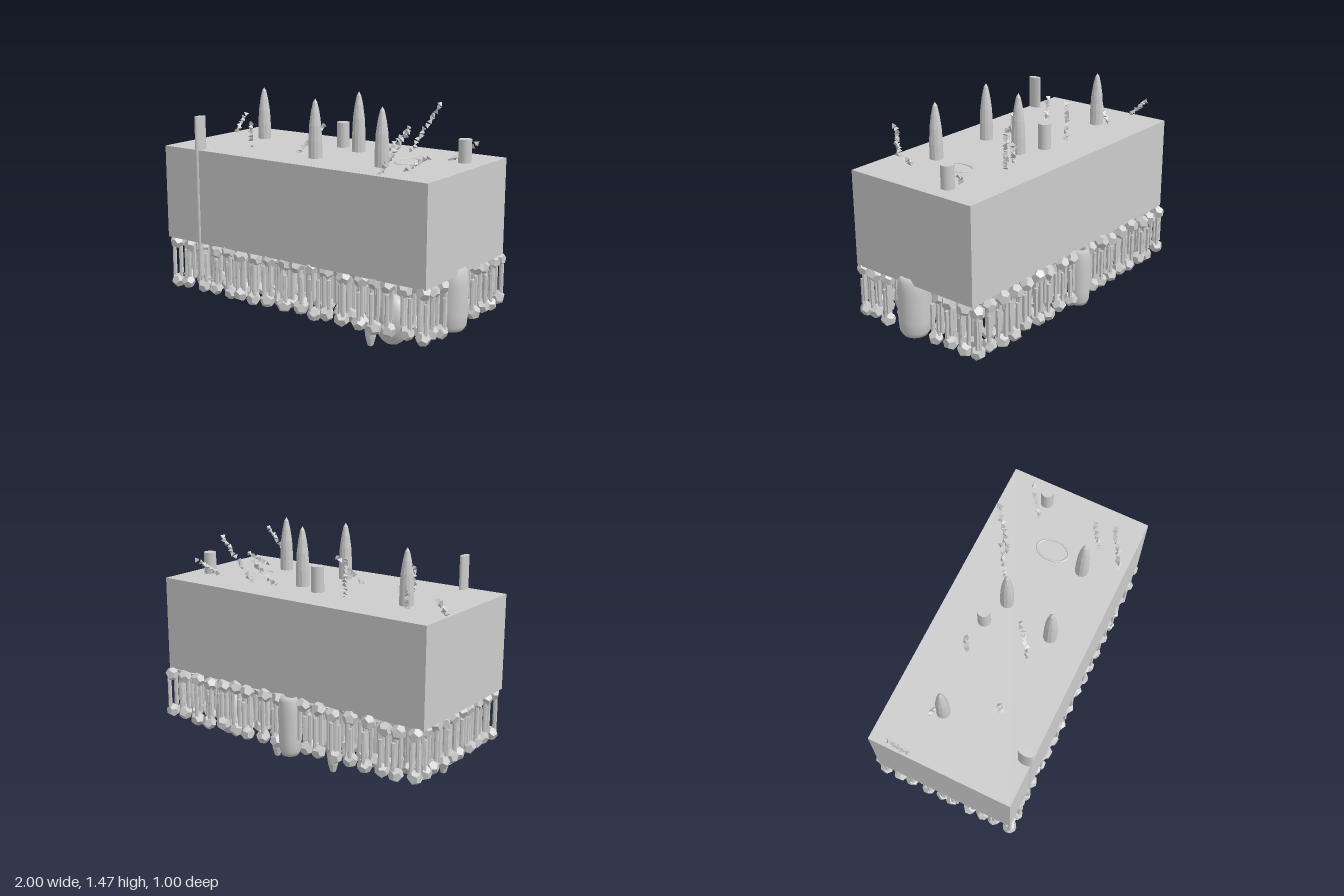
import * as THREE from 'three';
import { mergeGeometries } from 'three/addons/utils/BufferGeometryUtils.js';

const grey = new THREE.MeshStandardMaterial({ color: 0xcccccc, flatShading: true });
const smooth = new THREE.MeshStandardMaterial({ color: 0xcccccc, side: THREE.DoubleSide });

// Small seeded generator returning -1..1
let seed = 11;
function jitter() {
  seed = (seed * 16807) % 2147483647;
  return (seed / 2147483647) * 2 - 1;
}

export function createModel() {
  const model = new THREE.Group();
  const add = (name, geo, x, y, z, mat = grey) => {
    const mesh = new THREE.Mesh(geo, mat);
    mesh.name = name;
    mesh.position.set(x, y, z);
    model.add(mesh);
    return mesh;
  };

  // Solid slab
  add('slab', new THREE.BoxGeometry(1.965, 0.605, 0.915), -0.0175, 0.7875, 0.0275);

  // Barrel with rounded rims, optionally with an open pore
  const barrel = (name, x, z, r, y0, y1, pore) => {
    const p = [[pore, y0 + 0.02], [r * 0.75, y0], [r * 0.93, y0 + 0.03], [r, y0 + 0.1],
      [r, y1 - 0.1], [r * 0.93, y1 - 0.03], [r * 0.75, y1], [pore, y1 - 0.02]];
    if (pore > 0) p.push(p[0]);
    add(name, new THREE.LatheGeometry(p.map(q => new THREE.Vector2(...q)), 20), x, 0, z, smooth);
  };
  barrel('sideProtein', 0.9, 0.08, 0.1, 0.135, 0.52, 0);
  barrel('channelProtein', -0.05, -0.43, 0.07, 0.12, 0.5, 0.03);

  // Egg-shaped proteins: x, y, z, then half sizes
  const eggs = [[-0.6, 0.225, 0.03, 0.11, 0.155, 0.1], [0.66, 0.22, 0.35, 0.12, 0.155, 0.08],
    [0.56, 0.225, -0.295, 0.09, 0.15, 0.1]];
  for (const [x, y, z, rx, ry, rz] of eggs)
    add('roundProtein', new THREE.SphereGeometry(1, 14, 10).scale(rx, ry, rz), x, y, z, smooth);

  // Flat-ended oval protein
  add('ovalProtein', new THREE.CylinderGeometry(1, 1, 0.3, 16).scale(0.075, 1, 0.19), -0.83, 0.25, 0.11);

  // Lipid double layer: a head with two tails, mirrored below
  const blocked = [[0.9, 0.08, 0.13, 0.13], [-0.05, -0.43, 0.08, 0.08],
    [-0.83, 0.11, 0.09, 0.2], ...eggs.map(e => [e[0], e[2], e[3] * 0.8, e[5] * 0.8])];
  const heads = [], tails = [];
  const lipid = (x, y, z, dir) => {
    const turn = jitter() * Math.PI;
    heads.push(new THREE.DodecahedronGeometry(0.047).rotateX(jitter() * 3).rotateY(turn).translate(x, y, z));
    for (const s of [-1, 1]) {
      const len = 0.19 + jitter() * 0.015;
      tails.push(new THREE.CylinderGeometry(0.013, 0.013, len, 6).toNonIndexed()
        .translate(x + s * 0.022 * Math.cos(turn), y - dir * (0.02 + len / 2), z + s * 0.022 * Math.sin(turn)));
    }
  };
  const cols = 18, rows = 10;
  for (const [level, dir] of [[0.455, 1], [0.19, -1]])
    for (let i = 0; i < cols; i++)
      for (let j = 0; j < rows; j++) {
        const edgeX = i === 0 || i === cols - 1, edgeZ = j === 0 || j === rows - 1;
        const x = -0.95 + (i * 1.885) / (cols - 1) + jitter() * (edgeX ? 0.003 : 0.022);
        const z = -0.437 + (j * 0.89) / (rows - 1) + jitter() * (edgeZ ? 0.005 : 0.02);
        if (blocked.some(([bx, bz, rx, rz]) => ((x - bx) / rx) ** 2 + ((z - bz) / rz) ** 2 < 1)) continue;
        lipid(x, level + jitter() * 0.012, z, dir);
      }
  add('lipidHeads', mergeGeometries(heads), 0, 0, 0);
  add('lipidTails', mergeGeometries(tails), 0, 0, 0);

  // Pointed spindles hanging below the layer
  const hanging = [[0, 0], [0.018, 0.01], [0.032, 0.06], [0.042, 0.13], [0.03, 0.2], [0, 0.26]]
    .map(q => new THREE.Vector2(...q));
  for (const [x, z] of [[-0.82, 0.11], [-0.28, -0.3], [0.02, 0.11], [0.16, -0.3], [0.5, 0.335]])
    add('hangingSpindle', new THREE.LatheGeometry(hanging, 10), x, 0.01 - (x < -0.8 ? 0.01 : 0), z);

  // Bullet-shaped spikes on the slab
  for (const [x, z, top] of [[-0.665, -0.11, 1.43], [0.03, 0.25, 1.45], [0.12, -0.08, 1.465], [0.505, 0.24, 1.44]]) {
    const h = top - 1.05;
    const p = [[0.043, 0], [0.042, 0.35], [0.037, 0.6], [0.026, 0.8], [0.014, 0.94], [0, 1]]
      .map(([r, t]) => new THREE.Vector2(r, t * h));
    add('spike', new THREE.LatheGeometry(p, 12), x, 1.05, z);
  }

  // Short posts on top and a tall oval post through the front face
  for (const [x, z, top] of [[-0.05, -0.15, 1.25], [0.835, -0.15, 1.23]])
    add('post', new THREE.CylinderGeometry(0.04, 0.04, top - 1.05, 20), x, (top + 1.05) / 2, z, smooth);
  add('tallPost', new THREE.CylinderGeometry(1, 1, 1.03, 20).scale(0.021, 1, 0.046), -0.725, 0.785, 0.449, smooth);

  // Oval ring lying on top
  add('ring', new THREE.TorusGeometry(1, 0.1, 8, 32).rotateX(Math.PI / 2).scale(0.067, 0.06, 0.102),
    0.55, 1.09, 0.025, smooth);

  // Chains of tiny tetrahedra: start x, y, z and end x, y, z
  const chains = [
    [-0.975, 1.1, -0.18, -0.985, 1.2, -0.29], [-0.52, 1.09, 0.2, -0.525, 1.24, 0.19],
    [-0.26, 1.09, -0.16, -0.265, 1.32, -0.155], [-0.15, 1.09, 0.19, -0.03, 1.26, 0.085],
    [0.27, 1.09, -0.165, 0.38, 1.24, -0.25], [0.42, 1.11, -0.225, 0.55, 1.39, -0.34],
    [0.62, 1.09, 0.44, 0.74, 1.33, 0.34], [0.68, 1.09, 0.28, 0.79, 1.17, 0.195],
    [0.73, 1.09, -0.16, 0.85, 1.19, -0.25], [-0.71, 1.09, -0.175, -0.68, 1.2, -0.14]];
  for (const c of chains) {
    const a = new THREE.Vector3(...c.slice(0, 3)), b = new THREE.Vector3(...c.slice(3));
    const n = Math.max(6, Math.round(a.distanceTo(b) / 0.026));
    const links = [];
    for (let i = 0; i <= n; i++) {
      const p = a.clone().lerp(b, i / n);
      links.push(new THREE.TetrahedronGeometry(0.022).rotateX(jitter() * 3).rotateY(jitter() * 3)
        .translate(p.x + jitter() * 0.006, p.y, p.z + jitter() * 0.006));
    }
    add('sugarChain', mergeGeometries(links), 0, 0, 0);
  }
  return model;
}
